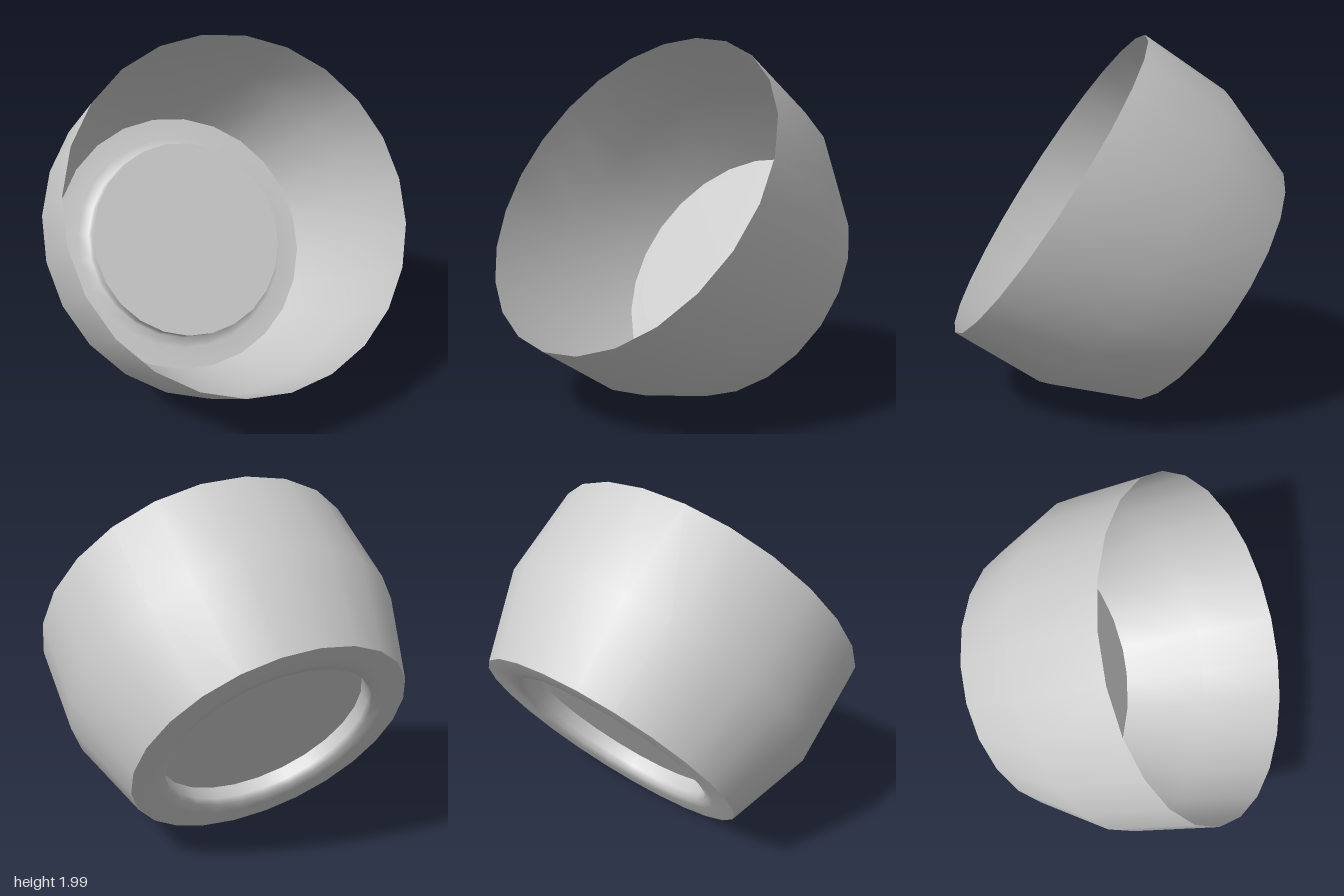
import * as THREE from 'three';

const SIDES = 24;

export function createModel() {
  const model = new THREE.Group();
  model.name = 'tiltedCup';
  const material = new THREE.MeshStandardMaterial({ color: 0xcccccc, side: THREE.DoubleSide });

  const cup = new THREE.Group();
  cup.name = 'cup';
  model.add(cup);

  // Turned surface from [radius, height] points
  function addTurned(name, points) {
    const profile = points.map(([r, y]) => new THREE.Vector2(r, y));
    const mesh = new THREE.Mesh(new THREE.LatheGeometry(profile, SIDES), material);
    mesh.name = name;
    cup.add(mesh);
  }

  // Thin wall: flared below, straight above, open at the rim
  addTurned('wall', [[0.776, 0], [0.947, 0.48], [0.947, 1.012]]);

  // Rounded foot that rolls inward to the raised bottom
  addTurned('footRing', [[0.585, 0.127], [0.58, 0.05], [0.59, 0.015], [0.65, 0], [0.776, 0]]);

  // Flat raised bottom
  const bottom = new THREE.Mesh(new THREE.CircleGeometry(0.585, SIDES), material);
  bottom.name = 'bottomDisc';
  bottom.rotation.x = -Math.PI / 2;
  bottom.position.y = 0.127;
  cup.add(bottom);

  // Lean the opening forward and up
  cup.rotation.x = Math.atan2(0.829, 0.56);
  cup.position.set(0, 0.645, -0.467);
  return model;
}
